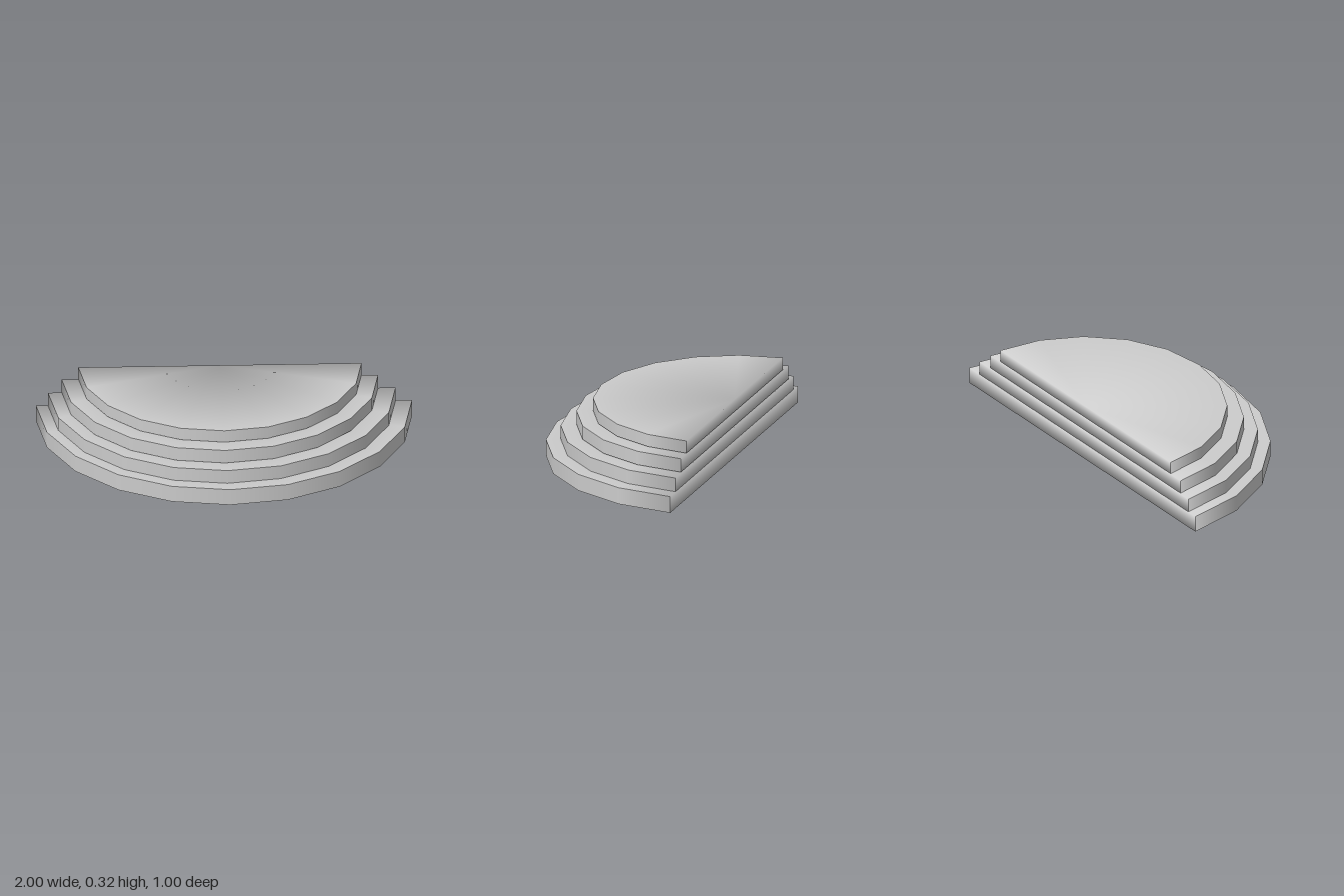
import * as THREE from 'three';
import { mergeGeometries } from 'three/addons/utils/BufferGeometryUtils.js';

const SEGMENTS = 10;
const BACK_Z = -0.5;

// Half-round slab: flat back at z = 0, curved front, shading softened over the back edges
function slabGeometry(radius, height) {
  const half = new THREE.CylinderGeometry(
    radius, radius, height, SEGMENTS, 1, false, -Math.PI / 2, Math.PI);
  const back = new THREE.PlaneGeometry(radius * 2, height).rotateY(Math.PI);
  const geometry = mergeGeometries([half, back]);

  const { position, normal } = geometry.attributes;
  const n = new THREE.Vector3();
  for (let i = 0; i < position.count; i++) {
    if (Math.abs(position.getZ(i)) > 1e-6) continue;
    n.fromBufferAttribute(normal, i);
    if (n.z < -0.5) n.y = Math.sign(position.getY(i)); // back wall
    else n.z = -1;                                     // caps and curved wall
    n.normalize();
    normal.setXYZ(i, n.x, n.y, n.z);
  }
  return geometry;
}

export function createModel() {
  const group = new THREE.Group();
  group.name = 'halfRoundSteps';
  const material = new THREE.MeshStandardMaterial({ color: 0xcccccc });

  // Steps from the ground up, with hairline gaps under the upper two
  const steps = [
    { name: 'bottomStep', radius: 1, x: 0, z: BACK_Z, y0: 0, y1: 0.091 },
    { name: 'secondStep', radius: 0.924, x: -0.012, z: BACK_Z + 0.002, y0: 0.091, y1: 0.167 },
    { name: 'thirdStep', radius: 0.841, x: -0.022, z: BACK_Z + 0.005, y0: 0.171, y1: 0.246 },
    { name: 'topStep', radius: 0.753, x: -0.022, z: BACK_Z + 0.005, y0: 0.25, y1: 0.318 },
  ];
  for (const { name, radius, x, z, y0, y1 } of steps) {
    const mesh = new THREE.Mesh(slabGeometry(radius, y1 - y0), material);
    mesh.name = name;
    mesh.position.set(x, (y0 + y1) / 2, z);
    group.add(mesh);
  }
  return group;
}
